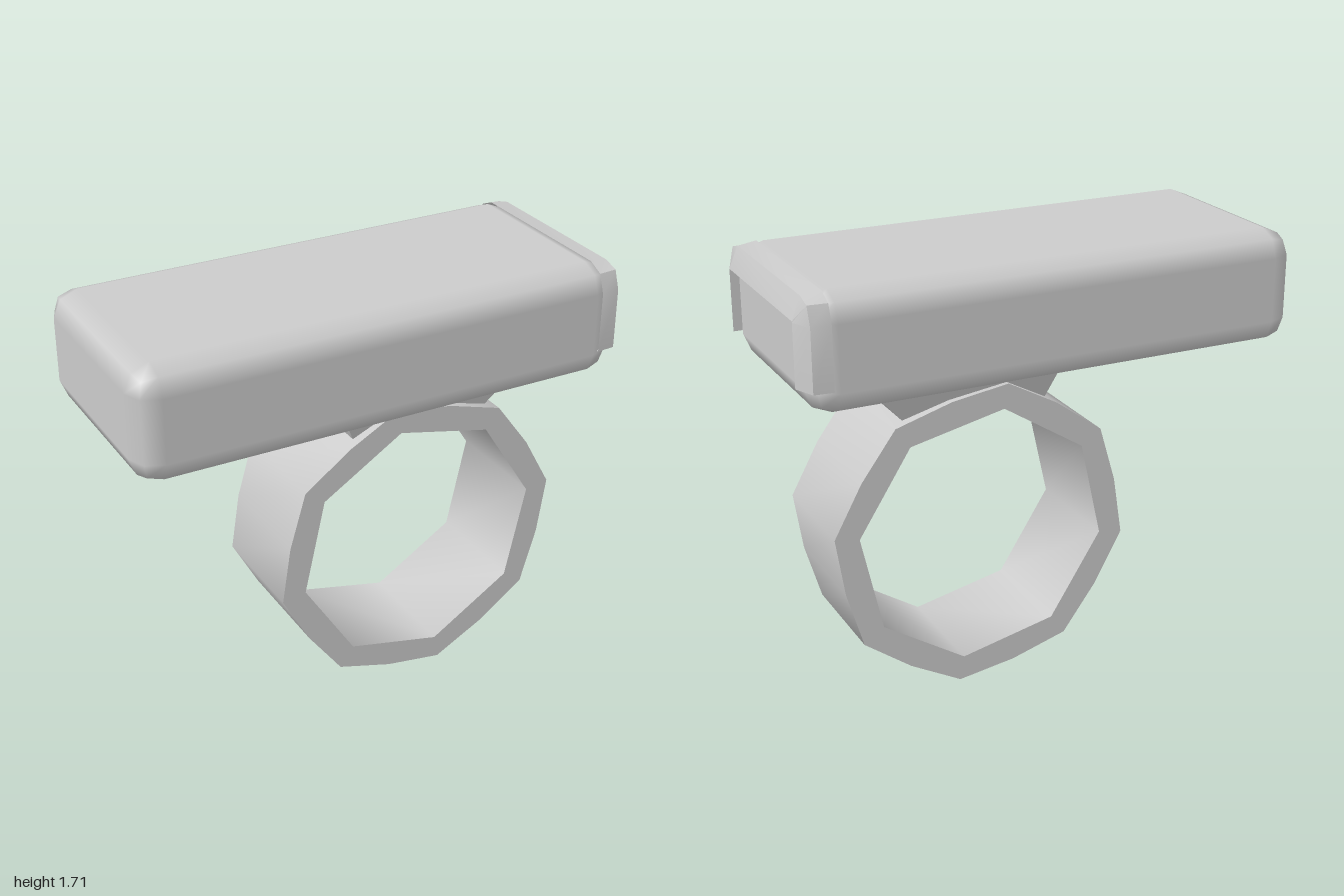
import * as THREE from 'three';
import { toCreasedNormals } from 'three/addons/utils/BufferGeometryUtils.js';
import { RoundedBoxGeometry } from 'three/addons/geometries/RoundedBoxGeometry.js';

export function createModel() {
  const group = new THREE.Group();
  const material = new THREE.MeshStandardMaterial({ color: 0xcccccc });
  const thin = new THREE.MeshStandardMaterial({ color: 0xcccccc, side: THREE.DoubleSide });

  const add = (name, geometry, mat = material) => {
    const mesh = new THREE.Mesh(geometry, mat);
    mesh.name = name;
    group.add(mesh);
    return mesh;
  };

  // Long bar with softly bevelled edges
  const bar = add('bar', new RoundedBoxGeometry(1.967, 0.45, 0.87, 1, 0.1));
  bar.position.set(-0.0165, 1.495, 0);

  // Raised upside-down U lip around the +x end, open at the bottom
  const half = [[0.435, 1.38], [0.435, 1.62], [0.408, 1.692], [0.345, 1.72]];
  const outer = [...half, ...half.map(([z, y]) => [-z, y]).reverse()];
  const inner = outer.map(([z, y]) => [Math.sign(z) * 0.345, Math.min(y, 1.625)]);
  const taper = outer.map(([z, y]) => [z * 0.985, Math.min(y, 1.71)]);
  const loops = [[0.89, outer], [0.965, taper], [1, inner], [0.9, inner]]
    .map(([x, loop]) => loop.map(([z, y]) => [x, y, z]));
  const verts = [];
  const quad = (a, b, c, d) => verts.push(...a, ...b, ...c, ...a, ...c, ...d);
  for (let i = 0; i < loops.length - 1; i++) {
    for (let j = 0; j < outer.length - 1; j++) {
      quad(loops[i][j], loops[i + 1][j], loops[i + 1][j + 1], loops[i][j + 1]);
    }
  }
  const last = outer.length - 1;
  quad(loops[0][0], loops[3][0], loops[2][0], loops[1][0]);
  quad(loops[0][last], loops[1][last], loops[2][last], loops[3][last]);
  const lip = new THREE.BufferGeometry();
  lip.setAttribute('position', new THREE.Float32BufferAttribute(verts, 3));
  add('endLip', toCreasedNormals(lip, 0.5), thin);

  // Ring band: eight-sided hole, outer side slightly bulged between corners
  const polygon = (count, radius) => Array.from({ length: count }, (_, i) => {
    const a = THREE.MathUtils.degToRad(100) + (i / count) * Math.PI * 2;
    return new THREE.Vector2(Math.cos(a), Math.sin(a)).multiplyScalar(radius(i));
  });
  const band = new THREE.Shape(polygon(16, (i) => (i % 2 ? 0.585 : 0.616)));
  band.holes.push(new THREE.Path(polygon(8, () => 0.516)));
  const bandGeometry = new THREE.ExtrudeGeometry(band, { depth: 0.46, bevelEnabled: false });
  const ring = add('ringBand', toCreasedNormals(bandGeometry, 0.9));
  ring.position.set(0.235, 0.612, -0.23);

  // Tapered block joining the ring to the bar
  const mount = new THREE.BoxGeometry(1, 1, 1);
  const p = mount.attributes.position;
  for (let i = 0; i < p.count; i++) {
    const top = p.getY(i) > 0;
    const right = p.getX(i) > 0;
    const x = top ? (right ? 0.69 : -0.12) : (right ? 0.542 : -0.045);
    p.setXYZ(i, x, top ? 1.29 : 1.125, Math.sign(p.getZ(i)) * (top ? 0.228 : 0.19));
  }
  add('mount', toCreasedNormals(mount, 0.3));

  return group;
}
